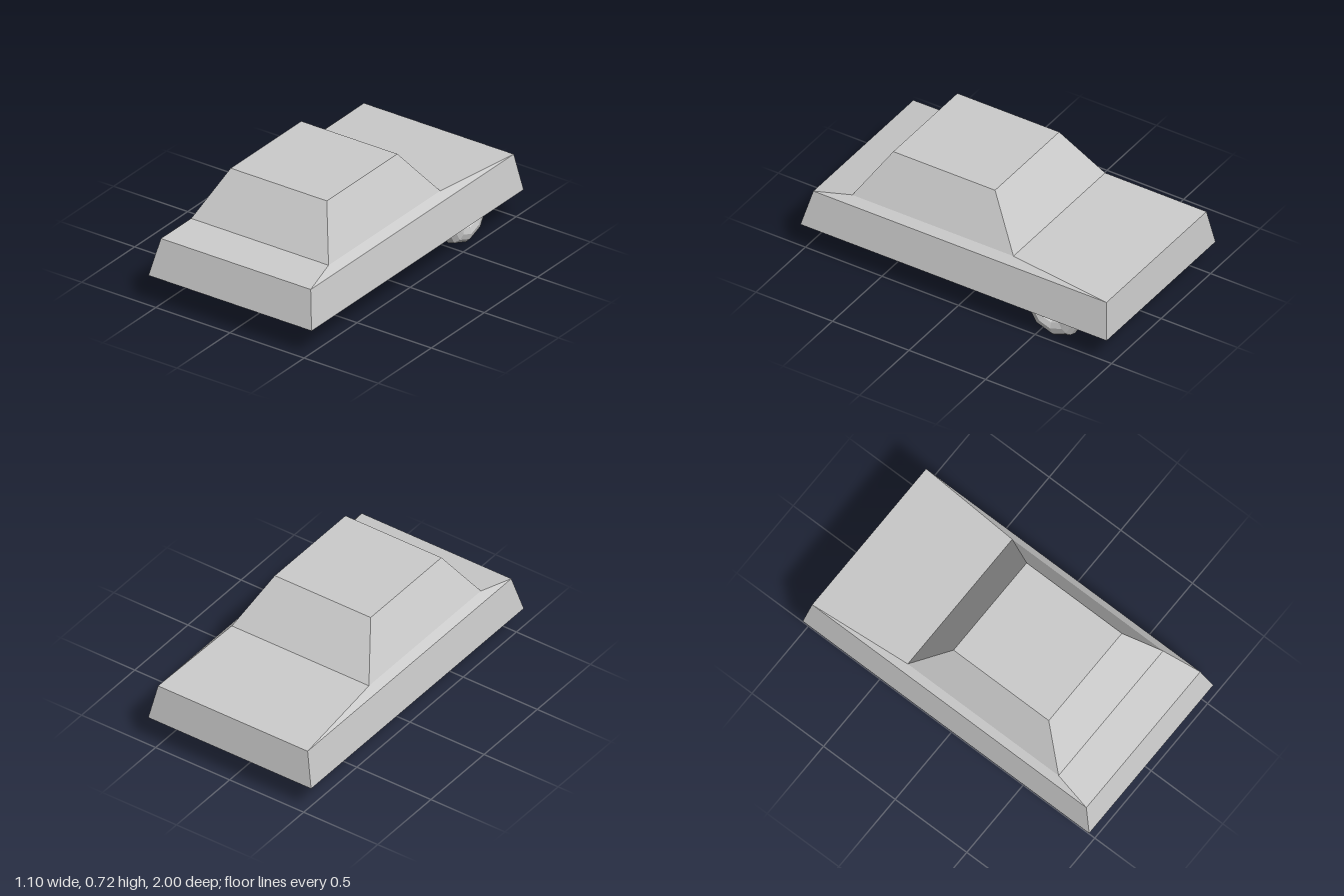
import * as THREE from 'three';

const material = new THREE.MeshStandardMaterial({ color: 0xcccccc, flatShading: true, side: THREE.DoubleSide });

// Closed solid through stacked rectangles: [y, half width, back z, front z]
function stackedRects(levels) {
  const pos = [], idx = [];
  for (const [y, w, back, front] of levels) {
    pos.push(-w, y, front, w, y, front, w, y, back, -w, y, back);
  }
  for (let i = 0; i < levels.length - 1; i++) {
    for (let j = 0; j < 4; j++) {
      const a = i * 4 + j, b = i * 4 + (j + 1) % 4;
      idx.push(a, b, b + 4, a, b + 4, a + 4);
    }
  }
  const t = (levels.length - 1) * 4;
  idx.push(0, 2, 1, 0, 3, 2, t, t + 1, t + 2, t, t + 2, t + 3);
  const geo = new THREE.BufferGeometry();
  geo.setAttribute('position', new THREE.Float32BufferAttribute(pos, 3));
  geo.setIndex(idx);
  const flat = geo.toNonIndexed();
  flat.computeVertexNormals();
  return flat;
}

export function createModel() {
  const group = new THREE.Group();

  // Lower body, sloped bonnet and boot, and tapered cabin
  const body = new THREE.Mesh(stackedRects([
    [0.185, 0.55, -1, 1],
    [0.405, 0.505, -0.97, 0.945],
    [0.443, 0.463, -0.335, 0.718],
    [0.722, 0.324, -0.125, 0.54],
  ]), material);
  body.name = 'carBody';
  group.add(body);

  // Single rear wheel, a nine-sided ring half sunk into the body
  const ring = new THREE.TorusGeometry(0.115, 0.07, 12, 9);
  ring.rotateZ(-Math.PI / 2).rotateY(Math.PI / 2);
  const wheel = new THREE.Mesh(ring, material);
  wheel.name = 'rearLeftWheel';
  wheel.position.set(0.42, 0.185, -0.592);
  group.add(wheel);

  return group;
}
